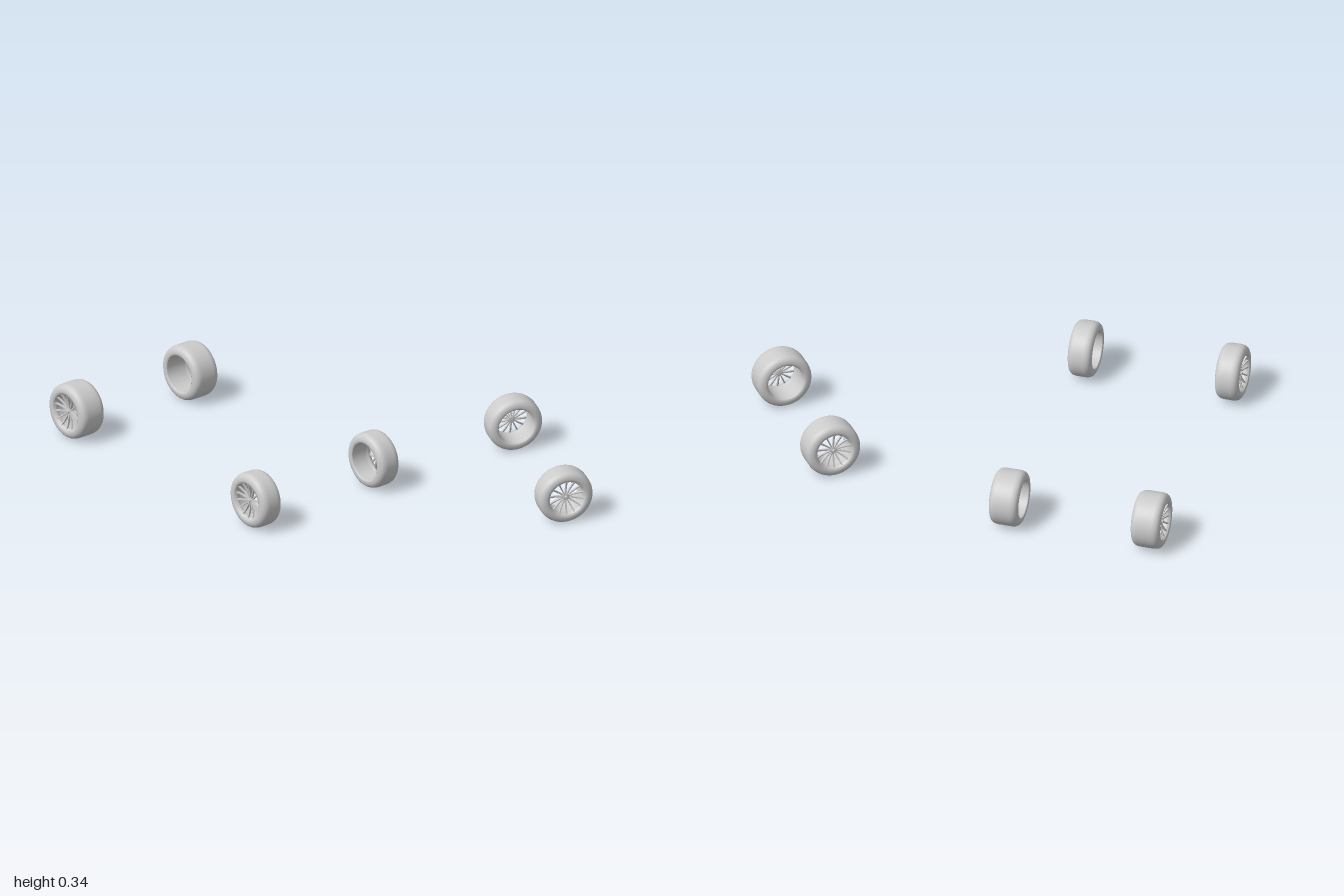
import * as THREE from 'three';

const R = 0.168; // tyre radius
const SPOKES = 14;
const grey = new THREE.MeshStandardMaterial({ color: 0xcccccc, side: THREE.DoubleSide });

function add(group, name, geometry) {
  const mesh = new THREE.Mesh(geometry, grey);
  mesh.name = name;
  group.add(mesh);
  return mesh;
}

// Revolve [radius, offset] pairs around the axle, which lies along x
function lathe(pairs, segments = 64) {
  return new THREE.LatheGeometry(pairs.map(([r, x]) => new THREE.Vector2(r, x)), segments).rotateZ(-Math.PI / 2);
}

// Tapered spoke running up y from the hub, leaning outward to the rim
function spokeGeometry(x) {
  const r0 = 0.012, r1 = 0.108;
  const g = new THREE.BoxGeometry(1, r1 - r0, 1, 1, 4, 1);
  const p = g.attributes.position;
  for (let i = 0; i < p.count; i++) {
    const t = p.getY(i) / (r1 - r0) + 0.5;
    const depth = 0.018 - 0.008 * t;
    const lean = -0.036 + 0.022 * t * t;
    p.setXYZ(i, x + lean + p.getX(i) * depth, r0 + t * (r1 - r0), p.getZ(i) * (0.006 + 0.003 * t));
  }
  g.computeVertexNormals();
  return g;
}

// Wheel with its outer face towards +x
function makeWheel(name, width) {
  const wheel = new THREE.Group();
  wheel.name = name;
  const h = width / 2;

  // Tyre: rounded shoulders, nearly flat sidewalls, open centre
  const shoulder = [[0.112, h - 0.006], [0.118, h - 0.001], [0.126, h], [0.137, h - 0.001], [0.148, h - 0.005],
    [0.157, h - 0.012], [0.163, h - 0.021], [0.1665, h - 0.032], [R, h - 0.045]];
  const inner = shoulder.map(([r, x]) => [r, -x]);
  add(wheel, 'tyre', lathe([...inner, ...shoulder.slice().reverse()]));

  // Rim: outer lip, stepped seat for the spokes, open barrel
  add(wheel, 'rim', lathe([
    [0.114, h - 0.003], [0.111, h - 0.003], [0.11, h - 0.008], [0.105, h - 0.014],
    [0.103, h - 0.022], [0.105, h - 0.032], [0.11, h - 0.042], [0.111, -h + 0.008], [0.114, -h + 0.003],
  ]));

  // Spokes
  const geometry = spokeGeometry(h);
  for (let i = 0; i < SPOKES; i++) {
    add(wheel, 'spoke', geometry).rotation.x = (i / SPOKES) * Math.PI * 2;
  }

  // Hub and centre nut
  add(wheel, 'hub', lathe([[0, h - 0.052], [0.02, h - 0.052], [0.021, h - 0.048],
    [0.021, h - 0.03], [0.018, h - 0.026], [0, h - 0.026]], 32));
  const nut = new THREE.CylinderGeometry(0.009, 0.011, 0.012, 6).rotateZ(-Math.PI / 2);
  add(wheel, 'centreNut', nut).position.x = h - 0.021;
  return wheel;
}

export function createModel() {
  const model = new THREE.Group();
  model.name = 'wheelSet';
  const outer = 0.522;
  for (const [end, z, width] of [['front', 0.832, 0.145], ['rear', -0.832, 0.177]]) {
    for (const side of [1, -1]) {
      const wheel = makeWheel(end + (side > 0 ? 'Left' : 'Right') + 'Wheel', width);
      wheel.position.set(side * (outer - width / 2), R, z);
      if (side < 0) wheel.rotation.y = Math.PI;
      model.add(wheel);
    }
  }
  return model;
}
